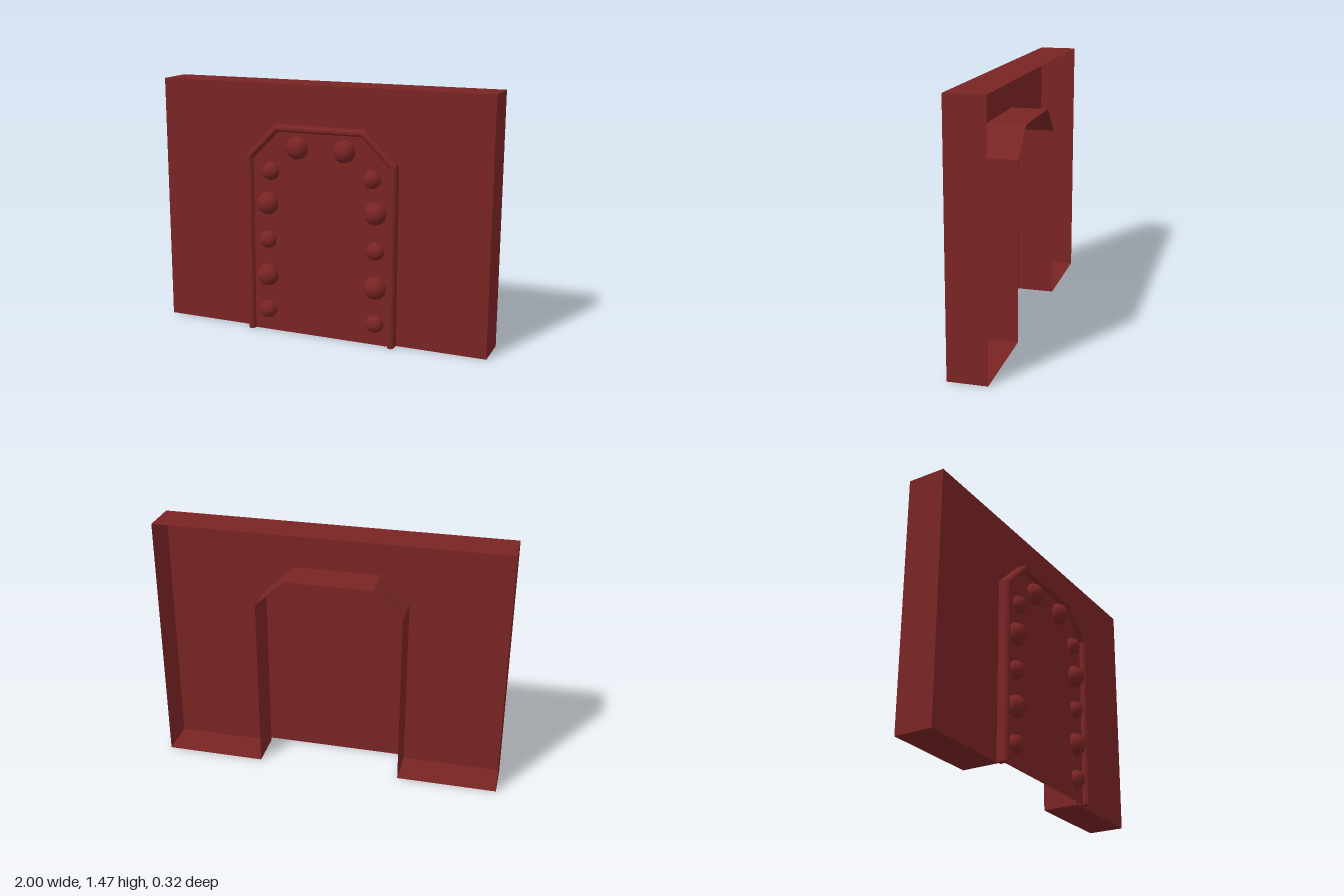
import * as THREE from 'three';

const material = new THREE.MeshStandardMaterial({ color: 0x7a2424, flatShading: true, side: THREE.DoubleSide });

// Doorway outline with chamfered top corners, from right foot to left foot
const arch = (w, shoulder, topW, top, cx = 0) => [
  [cx + w, 0], [cx + w, shoulder], [cx + topW, top],
  [cx - topW, top], [cx - w, shoulder], [cx - w, 0],
];

// Skin a list of equally long point rings; closeRing joins each ring's end to its start
function loft(rings, closeRing, caps) {
  const n = rings[0].length, index = [];
  for (let i = 0; i < rings.length - 1; i++) {
    for (let j = 0; j < (closeRing ? n : n - 1); j++) {
      const a = i * n + j, b = i * n + (j + 1) % n;
      index.push(a, b, b + n, a, b + n, a + n);
    }
  }
  if (caps) {
    const last = (rings.length - 1) * n;
    for (let j = 1; j < n - 1; j++) index.push(0, j + 1, j, last, last + j, last + j + 1);
  }
  const g = new THREE.BufferGeometry();
  g.setAttribute('position', new THREE.Float32BufferAttribute(rings.flat(2), 3));
  g.setIndex(index);
  const flat = g.toNonIndexed();
  flat.computeVertexNormals();
  return flat;
}

const sheet = (points, z) =>
  new THREE.ShapeGeometry(new THREE.Shape(points.map(p => new THREE.Vector2(...p)))).translate(0, 0, z);

// Low-poly half ball with its flat side on z = 0
function dome(r) {
  const g = new THREE.IcosahedronGeometry(r, 3);
  const p = g.attributes.position;
  for (let i = 0; i < p.count; i++) p.setZ(i, Math.max(0, p.getZ(i)));
  g.computeVertexNormals();
  return g;
}

export function createModel() {
  const model = new THREE.Group();
  const add = (name, geometry, parent = model) => {
    const mesh = new THREE.Mesh(geometry, material);
    mesh.name = name;
    parent.add(mesh);
    return mesh;
  };
  const back = -0.16, front = 0.06, cx = 0.015;

  // Hollow wall: front sheet with a doorway notch, and a rim running back around it
  const opening = arch(0.42, 1.035, 0.255, 1.195);
  const outline = [[-1, 0], [-1, 1.47], [1, 1.47], [1, 0], ...opening];
  add('wallFront', sheet(outline, front));
  add('wallRim', loft([front, back].map(z => outline.map(([x, y]) => [x, y, z])), true, false));

  // Door panel set inside the frame
  const inner = arch(0.42, 1.04, 0.256, 1.205, cx);
  const outer = arch(0.457, 1.06, 0.272, 1.24, cx);
  add('doorPanel', sheet(inner, 0.09));

  // Frame: bevelled section [inner-to-outer fraction, z] swept along the arch
  const section = [[1, front], [1, 0.11], [0.7, 0.12], [0.3, 0.12], [0, 0.108], [0, front]];
  add('doorFrame', loft(inner.map((p, i) => section.map(([t, z]) => [
    p[0] + (outer[i][0] - p[0]) * t,
    p[1] + (outer[i][1] - p[1]) * t,
    z,
  ])), true, true));

  // Studs in mirrored pairs, alternating large and small
  const studs = new THREE.Group();
  studs.name = 'studs';
  model.add(studs);
  const large = dome(0.066), small = dome(0.053);
  [[0.143, 1.115], [0.31, 0.97], [0.331, 0.777], [0.333, 0.56], [0.335, 0.343], [0.335, 0.13]]
    .forEach(([x, y], i) => {
      for (const s of [-1, 1]) {
        add(i % 2 ? 'smallStud' : 'largeStud', i % 2 ? small : large, studs)
          .position.set(cx + 0.003 + s * x, y, 0.091);
      }
    });

  return model;
}
